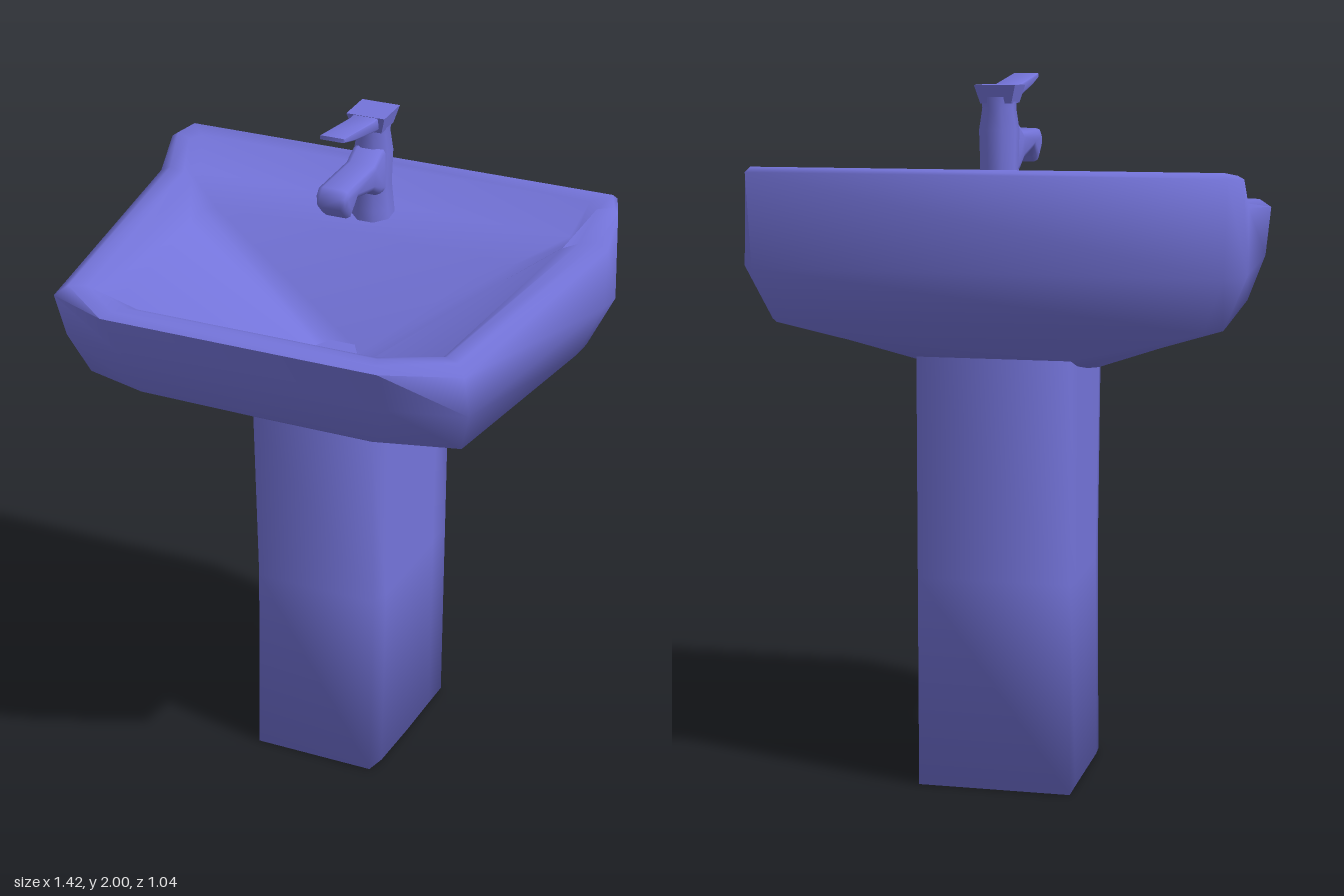
import * as THREE from 'three';
import { toCreasedNormals } from 'three/addons/utils/BufferGeometryUtils.js';

const ceramic = new THREE.MeshStandardMaterial({ color: 0x7474da });
ceramic.name = 'ceramicBlue';

function part(name, geometry, crease = 1.1) {
  const mesh = new THREE.Mesh(toCreasedNormals(geometry, crease), ceramic);
  mesh.name = name;
  return mesh;
}

// Mirrors a right-hand half outline into a closed ring; the front leans slightly to -x
function ring(half) {
  const left = half.map(([x, y, z]) => [-x, y, z]).reverse();
  return [...half, ...left].map(([x, y, z]) => [x - 0.075 * Math.max(0, z), y, z]);
}

// Skins rings listed from the bottom up, optionally closing either end
function loft(halves, capStart, capEnd) {
  const rings = halves.map(ring);
  const n = rings[0].length;
  const positions = rings.flat(2);
  const index = [];
  for (let r = 0; r < rings.length - 1; r++) {
    for (let i = 0; i < n; i++) {
      const j = (i + 1) % n;
      const a = r * n + i, b = r * n + j;
      index.push(a, b + n, b, a, a + n, b + n);
    }
  }
  const cap = (r, top) => {
    const center = positions.length / 3;
    for (let k = 0; k < 3; k++) {
      positions.push(rings[r].reduce((sum, p) => sum + p[k], 0) / n);
    }
    for (let i = 0; i < n; i++) {
      const a = r * n + i, b = r * n + ((i + 1) % n);
      if (top) index.push(center, b, a);
      else index.push(center, a, b);
    }
  };
  if (capStart) cap(0, false);
  if (capEnd) cap(rings.length - 1, true);
  const geometry = new THREE.BufferGeometry();
  geometry.setAttribute('position', new THREE.Float32BufferAttribute(positions, 3));
  geometry.setIndex(index);
  return geometry;
}

// Extrudes a side profile of [z, y] points across the width
function sideExtrude(points, width, bevel) {
  const shape = new THREE.Shape(points.map(([z, y]) => new THREE.Vector2(z, y)));
  const geometry = new THREE.ExtrudeGeometry(shape, {
    depth: width - 2 * bevel, bevelEnabled: true, bevelSize: bevel, bevelOffset: -bevel,
    bevelThickness: bevel, bevelSegments: 2,
  });
  geometry.translate(0, 0, bevel - width / 2);
  geometry.rotateY(-Math.PI / 2);
  return geometry;
}

export function createModel() {
  const model = new THREE.Group();
  model.name = 'pedestalSink';

  // Pedestal: a column with square back corners, tapering to a slightly waisted front
  const column = (y, front) => [
    [0.22, y, -0.40], [0.215, y, -0.31], [0.207, y, -0.15], [0.196, y, front - 0.06], [0.185, y, front],
  ];
  const neck = [
    [0.22, 1.225, -0.40], [0.218, 1.20, -0.31], [0.21, 1.175, -0.15], [0.20, 1.155, 0.03], [0.185, 1.15, 0.095],
  ];
  model.add(part('pedestal', loft([column(0, 0.09), column(0.6, 0.075), neck], true, false), 1.65));

  // Basin: underside, outer wall, rim, splash ledge, deck, then the bowl down to the drain
  const underside = [[0.60, 1.32, -0.48], [0.64, 1.32, -0.40], [0.635, 1.32, -0.33], [0.56, 1.33, 0.33], [0.36, 1.34, 0.40]];
  const belly = [[0.66, 1.47, -0.51], [0.71, 1.47, -0.43], [0.70, 1.47, -0.36], [0.60, 1.46, 0.38], [0.39, 1.46, 0.435]];
  const wallTop = [[0.67, 1.735, -0.525], [0.70, 1.73, -0.44], [0.70, 1.65, -0.36], [0.605, 1.60, 0.425], [0.405, 1.61, 0.52]];
  const rimTop = [[0.66, 1.75, -0.51], [0.685, 1.74, -0.45], [0.67, 1.665, -0.36], [0.575, 1.625, 0.40], [0.385, 1.62, 0.49]];
  const rimInner = [[0.61, 1.742, -0.455], [0.64, 1.735, -0.43], [0.62, 1.66, -0.35], [0.53, 1.62, 0.37], [0.37, 1.612, 0.44]];
  const splashFoot = [[0.58, 1.66, -0.38], [0.60, 1.658, -0.36], [0.58, 1.65, -0.32], [0.51, 1.605, 0.36], [0.35, 1.605, 0.42]];
  const bowlEdge = [[0.44, 1.64, -0.20], [0.475, 1.635, -0.18], [0.475, 1.62, -0.10], [0.475, 1.56, 0.34], [0.40, 1.555, 0.38]];
  const bowlFloor = [[0.05, 1.30, -0.13], [0.07, 1.30, -0.11], [0.08, 1.30, -0.07], [0.07, 1.30, -0.02], [0.05, 1.30, 0]];
  const basin = [neck, underside, belly, wallTop, rimTop, rimInner, splashFoot, bowlEdge, bowlFloor];
  model.add(part('basin', loft(basin, false, true), 1.7));

  // Drain: a low six-sided plug
  const drain = part('drain', new THREE.CylinderGeometry(0.075, 0.082, 0.02, 6, 1, false, Math.PI / 6));
  drain.position.set(-0.01, 1.31, -0.068);
  model.add(drain);

  // Faucet: round body with a square flared cap, drooping spout and a thin lever
  const faucet = new THREE.Group();
  faucet.name = 'faucet';
  const bodyProfile = [
    [0.066, 1.62], [0.06, 1.68], [0.053, 1.75], [0.056, 1.85], [0.047, 1.91], [0.05, 1.94],
  ].map(([r, y]) => new THREE.Vector2(r, y));
  const body = part('faucetBody', new THREE.LatheGeometry(bodyProfile, 8, Math.PI / 8));
  body.position.z = -0.328;
  faucet.add(body);
  const cap = part('faucetCap', new THREE.CylinderGeometry(0.082, 0.062, 0.05, 4, 1, false, Math.PI / 4));
  cap.position.set(0, 1.948, -0.322);
  faucet.add(cap);
  faucet.add(part('spout', sideExtrude([
    [-0.32, 1.73], [-0.27, 1.735], [-0.22, 1.765], [-0.11, 1.79], [-0.08, 1.765], [-0.06, 1.75],
    [-0.02, 1.79], [-0.015, 1.825], [-0.035, 1.845], [-0.23, 1.845], [-0.28, 1.87], [-0.32, 1.87],
  ], 0.095, 0.018)));
  faucet.add(part('lever', sideExtrude([
    [-0.33, 1.935], [-0.26, 1.935], [-0.10, 1.968], [-0.03, 1.988], [-0.03, 2.0], [-0.24, 1.972], [-0.33, 1.972],
  ], 0.075, 0.004)));
  model.add(faucet);

  return model;
}
